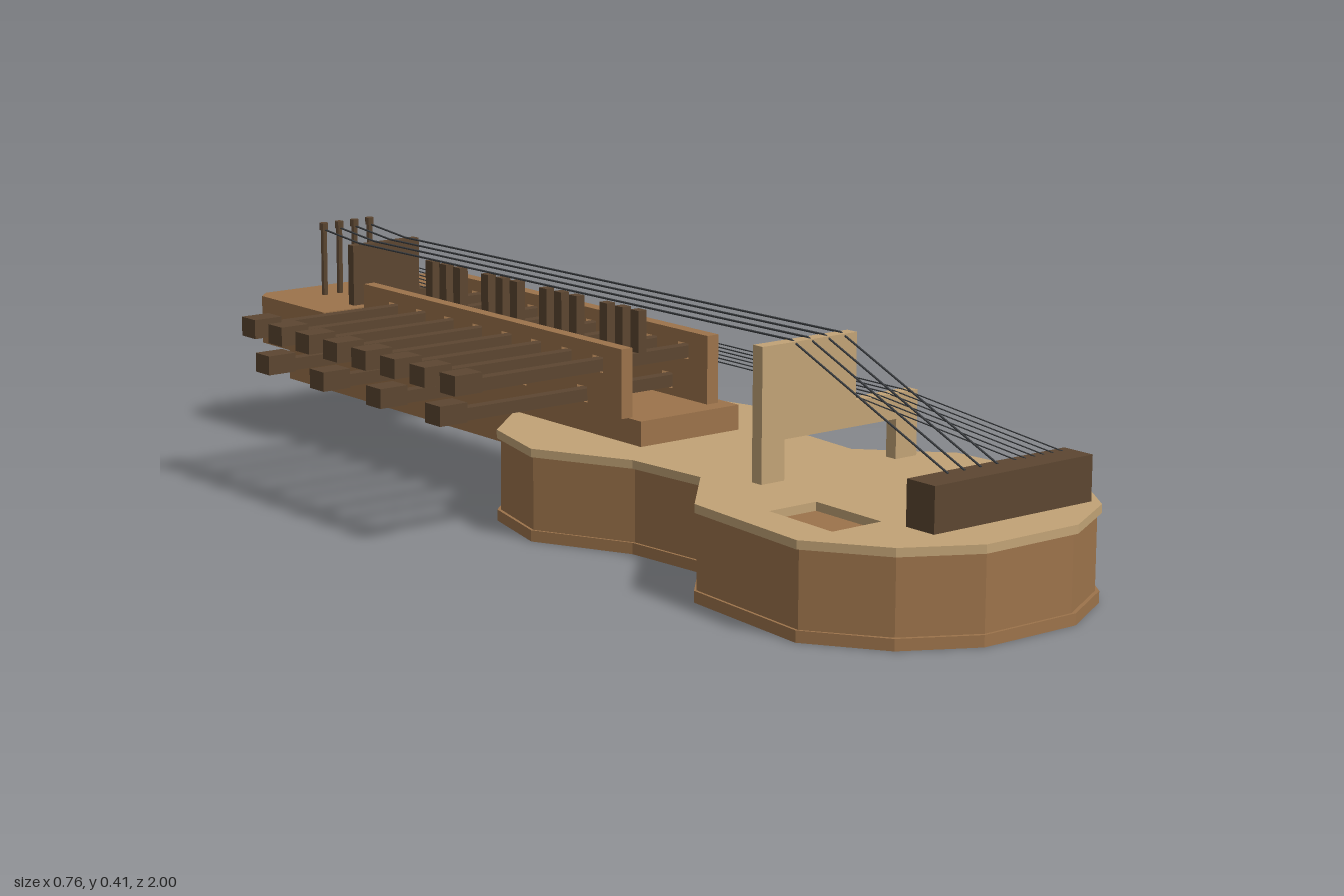
import * as THREE from 'three';

const mat = (color) => new THREE.MeshStandardMaterial({ color, flatShading: true });

export function createModel() {
  const root = new THREE.Group();
  root.name = 'keyedFiddle';
  const tan = mat(0xc2a376), brown = mat(0x9c734b), dark = mat(0x5c4631), steel = mat(0x3c3f42);
  const CX = 0.064; // centre line of the body

  const add = (name, geo, material, parent = root) => {
    const m = new THREE.Mesh(geo, material);
    m.name = name;
    parent.add(m);
    return m;
  };
  // Box given by its minimum and maximum on each axis
  const box = (name, material, [x0, x1], [y0, y1], [z0, z1], parent) => {
    const g = new THREE.BoxGeometry(x1 - x0, y1 - y0, z1 - z0);
    g.translate((x0 + x1) / 2, (y0 + y1) / 2, (z0 + z1) / 2);
    return add(name, g, material, parent);
  };
  const group = (name) => {
    const g = new THREE.Group();
    g.name = name;
    root.add(g);
    return g;
  };
  const shapeOf = (pts) => new THREE.Shape(pts.map(([a, b]) => new THREE.Vector2(a, b)));
  // Horizontal slab from an outline in (x, z)
  const slab = (name, material, pts, y0, y1, holes = []) => {
    const flip = (p) => p.map(([x, z]) => [x, -z]);
    const s = shapeOf(flip(pts));
    holes.forEach((h) => s.holes.push(shapeOf(flip(h))));
    const g = new THREE.ExtrudeGeometry(s, { depth: y1 - y0, bevelEnabled: false });
    g.rotateX(-Math.PI / 2).translate(0, y0, 0);
    return add(name, g, material);
  };

  // Body: mirrored waisted outline, half width and z
  const half = [[0.1, 1], [0.225, 0.93], [0.314, 0.8], [0.292, 0.525], [0.168, 0.39],
    [0.181, 0.225], [0.266, 0.05], [0.225, -0.105], [0.107, -0.21]];
  const outline = (inset) => {
    const h = half.map(([w, z]) => [w - inset, z + (z > 0.9 ? -inset : z < 0 ? inset : 0)]);
    return [...h.map(([w, z]) => [CX + w, z]), ...h.reverse().map(([w, z]) => [CX - w, z])];
  };
  const soundHoles = [1, -1].map((s) =>
    [[0.128, 0.635], [0.228, 0.635], [0.236, 0.795], [0.132, 0.795]].map(([w, z]) => [CX + s * w, z]));
  slab('backPlate', brown, outline(0), 0, 0.02);
  slab('ribs', brown, outline(0.005), 0.02, 0.15);
  slab('soundboard', tan, outline(0), 0.15, 0.165, soundHoles);

  // Neck and chamfered head
  box('neck', brown, [-0.045, 0.175], [0.1, 0.21], [-0.955, 0.157]);
  slab('head', brown, [[-0.093, -0.757], [0.308, -0.757], [0.308, -0.975], [0.283, -1],
    [-0.068, -1], [-0.093, -0.975]], 0.175, 0.268);

  // Tailpiece, two-level arched bridge, two-level nut
  box('tailpiece', dark, [-0.06, 0.288], [0.165, 0.243], [0.843, 0.907]);
  const bridge = shapeOf([[-0.06, 0.165], [-0.01, 0.165], [-0.01, 0.235], [0.24, 0.235], [0.24, 0.165],
    [0.288, 0.165], [0.288, 0.28], [0.147, 0.28], [0.147, 0.397], [-0.06, 0.397]]);
  add('bridge', new THREE.ExtrudeGeometry(bridge, { depth: 0.024, bevelEnabled: false })
    .translate(0, 0, 0.47), tan);
  box('nutHigh', dark, [-0.007, 0.147], [0.268, 0.385], [-0.798, -0.78]);
  box('nutLow', dark, [0.147, 0.287], [0.268, 0.283], [-0.798, -0.78]);

  // Key layout: four groups of three, the middle key sits on the lower tier
  const keys = [];
  for (let g = 0; g < 4; g++) {
    for (let k = 0; k < 3; k++) {
      keys.push({ z: 0.055 - 0.178 * g - 0.0445 * k, y: k === 1 ? 0.225 : 0.285 });
    }
  }

  // Key box walls pierced for the keys
  const wall = (name, x0, x1) => {
    const s = shapeOf([[-0.122, 0.21], [0.667, 0.21], [0.667, 0.333], [-0.122, 0.333]]);
    keys.forEach(({ z, y }) => s.holes.push(shapeOf([[-z - 0.015, y - 0.002], [-z - 0.015, y + 0.026],
      [-z + 0.015, y + 0.026], [-z + 0.015, y - 0.002]])));
    const geo = new THREE.ExtrudeGeometry(s, { depth: x1 - x0, bevelEnabled: false });
    add(name, geo.rotateY(Math.PI / 2).translate(x0, 0, 0), brown);
  };
  wall('keyBoxRightWall', -0.06, -0.036);
  wall('keyBoxLeftWall', 0.132, 0.157);

  // Keys with end buttons and upright tangents
  const keyGroup = group('keys');
  keys.forEach(({ z, y }) => {
    box('keyShaft', dark, [-0.325, 0.15], [y, y + 0.022], [z - 0.011, z + 0.011], keyGroup);
    box('keyButton', dark, [-0.38, -0.323], [y, y + 0.035], [z - 0.022, z + 0.022], keyGroup);
    box('tangent', dark, [0.022, 0.04], [y + 0.022, 0.382], [z - 0.011, z + 0.011], keyGroup);
  });

  // Strings: straight runs through tailpiece, bridge, nut and peg
  const stringGroup = group('strings'), pegGroup = group('pegs');
  const run = (a, b, r) => {
    const d = b.clone().sub(a);
    const g = new THREE.CylinderGeometry(r, r, d.length(), 6);
    const m = add('string', g, steel, stringGroup);
    m.position.copy(a).addScaledVector(d, 0.5);
    m.quaternion.setFromUnitVectors(new THREE.Vector3(0, 1, 0), d.normalize());
  };
  const string = (x, r, points) => {
    const p = points.map(([y, z]) => new THREE.Vector3(x, y, z));
    for (let i = 1; i < p.length; i++) run(p[i - 1], p[i], r);
  };
  const peg = (x, z, top, r, cap) => {
    add('pegShaft', new THREE.CylinderGeometry(r, r, top - 0.26, 8)
      .translate(x, (top + 0.26) / 2, z), dark, pegGroup);
    add('pegHead', new THREE.CylinderGeometry(0.0085, 0.0085, cap, 8)
      .translate(x, top - cap / 2, z), dark, pegGroup);
  };
  // Playing strings
  for (let i = 0; i < 4; i++) {
    const x = 0.013 + 0.036 * i;
    string(x, 0.002, [[0.243, 0.86], [0.398, 0.482], [0.387, -0.789], [0.398, -0.912]]);
    peg(x, -0.912, 0.411, 0.006, 0.014);
  }
  // Sympathetic strings
  for (let i = 0; i < 6; i++) {
    const x = 0.163 + 0.0207 * i;
    string(x, 0.0012, [[0.243, 0.86], [0.281, 0.482], [0.284, -0.789], [0.288, -0.968]]);
    peg(x, -0.968, 0.302, 0.005, 0.013);
  }
  return root;
}
